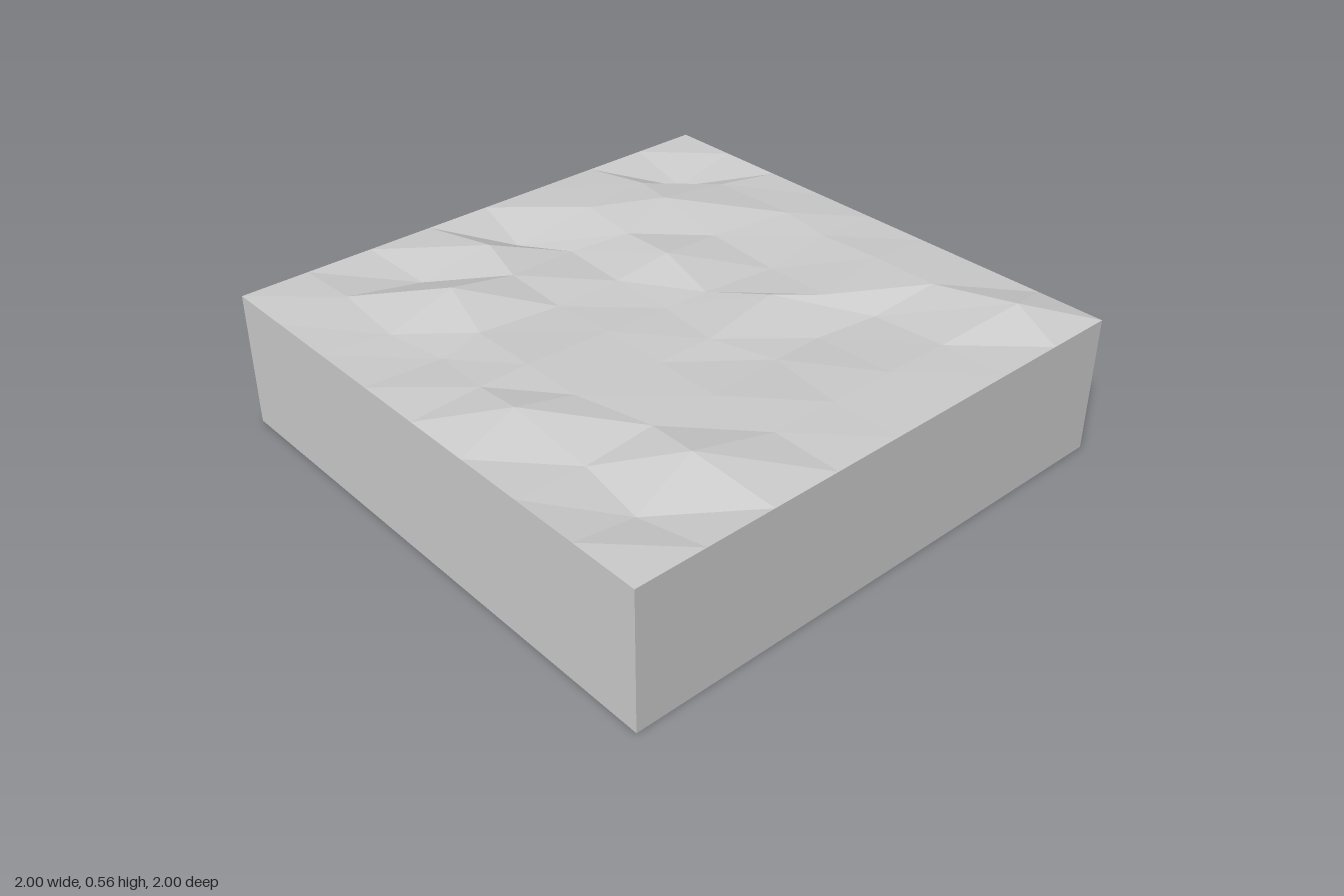
import * as THREE from 'three';

const CELLS = 8;

// Rise of each inner grid point in hundredths, rows from back to front
const HEIGHTS = [
  [-4, 1, 2, 1, 2, 2, 5],
  [3, 5.5, 1, 0, 2, -3, -0.5],
  [3, 2, 4, 1, 3, -3, 0],
  [-4, -2, 0, 0, 1, -1.5, 0],
  [3, 1, -0.5, 1, 1, 1, 0.5],
  [-2, 5.5, 0, 2, 2, 1.5, 4.5],
  [1, 0, -1, 1.5, 5, -1, -3],
];

// Sideways shift of the most displaced points: 'row,column': [dx, dz]
const SHIFTS = {
  '1,1': [0.03, 0.04], '1,2': [-0.05, -0.02], '1,3': [0.05, -0.02], '1,7': [0.05, -0.06],
  '2,1': [0.03, -0.03], '2,2': [-0.04, 0.03], '2,3': [-0.01, 0.04], '2,4': [0.04, 0.05],
  '2,5': [0.06, 0.07], '2,6': [-0.04, -0.01],
  '3,1': [0.05, 0], '3,2': [0.04, 0.02], '3,3': [0.02, 0.04], '3,4': [0.02, 0.09],
  '3,5': [-0.05, -0.03], '3,6': [-0.07, -0.02],
  '4,1': [0.01, 0.05], '4,2': [-0.05, -0.04], '4,5': [0, 0.04], '4,6': [-0.05, -0.06],
  '5,1': [0.05, -0.05], '6,1': [0.04, -0.02], '6,3': [-0.03, 0.05], '6,4': [0, 0.07],
  '6,5': [-0.02, 0.07], '6,7': [-0.05, 0.03],
  '7,2': [0.04, 0.02], '7,3': [0.01, -0.03], '7,5': [-0.05, 0.02], '7,7': [0, 0.03],
};

export function createModel() {
  const group = new THREE.Group();
  group.name = 'groundTile';

  // Square block with a gridded top
  const geometry = new THREE.BoxGeometry(2, 0.5, 2, CELLS, 1, CELLS);
  geometry.translate(0, 0.25, 0);

  // Roughen the inner points of the top, leaving its border straight
  const pos = geometry.attributes.position;
  for (let i = 0; i < pos.count; i++) {
    const x = pos.getX(i), y = pos.getY(i), z = pos.getZ(i);
    const col = Math.round((x + 1) * CELLS / 2);
    const row = Math.round((z + 1) * CELLS / 2);
    const inner = col > 0 && col < CELLS && row > 0 && row < CELLS;
    if (y < 0.4 || !inner) continue;
    const [dx, dz] = SHIFTS[`${row},${col}`] ?? [0, 0];
    pos.setXYZ(i, x + dx, y + HEIGHTS[row - 1][col - 1] / 100, z + dz);
  }
  geometry.computeVertexNormals();

  const block = new THREE.Mesh(
    geometry,
    new THREE.MeshStandardMaterial({ color: 0xcccccc, flatShading: true })
  );
  block.name = 'groundBlock';
  group.add(block);
  return group;
}
